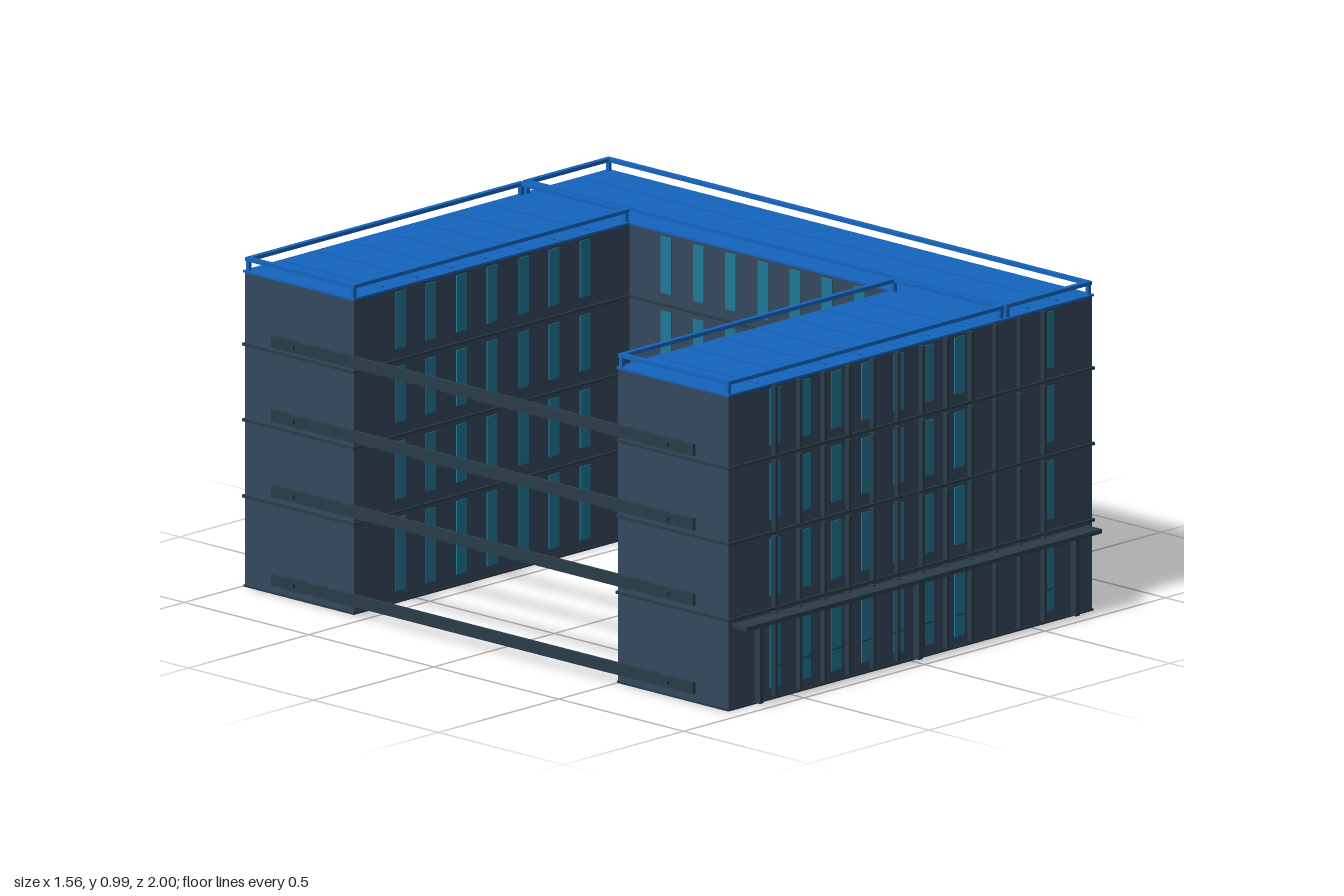
import * as THREE from 'three';

const mat = (color) => new THREE.MeshStandardMaterial({ color });
const wallMat = mat(0x34495e), trimMat = mat(0x2a3d4a), glassMat = mat(0x1f7898), roofMat = mat(0x1565c0);

// Outer limits of the U-shaped plan, and the courtyard inside it
const X0 = -0.755, X1 = 0.755, Z0 = -0.993, Z1 = 0.943;
const CX = 0.39, CZ0 = -0.557, CZ1 = 0.502, TOP = 0.94;

// Box given by its lower and upper corners
function box(parent, name, material, x0, x1, y0, y1, z0, z1) {
  const m = new THREE.Mesh(new THREE.BoxGeometry(x1 - x0, y1 - y0, z1 - z0), material);
  m.position.set((x0 + x1) / 2, (y0 + y1) / 2, (z0 + z1) / 2);
  m.name = name;
  parent.add(m);
  return m;
}

// Slab with the U plan, grown outwards by o
function uSlab(parent, name, material, y0, y1, o) {
  const pts = [
    [X0 - o, Z0 - o], [X1 + o, Z0 - o], [X1 + o, Z1 + o], [X0 - o, Z1 + o],
    [X0 - o, CZ1 - o], [CX - o, CZ1 - o], [CX - o, CZ0 + o], [X0 - o, CZ0 + o],
  ].map(([x, z]) => new THREE.Vector2(x, -z));
  const geo = new THREE.ExtrudeGeometry(new THREE.Shape(pts), { depth: y1 - y0, bevelEnabled: false });
  geo.rotateX(-Math.PI / 2);
  const m = new THREE.Mesh(geo, material);
  m.position.y = y0;
  m.name = name;
  parent.add(m);
}

// Roof of one block: raised seams, corner posts and a top rail
function roofBlock(parent, name, x0, x1, z0, z1, seams, alongX) {
  const g = new THREE.Group();
  g.name = name;
  parent.add(g);
  const i = 0.022, y = 0.946, h = 0.004, t = 0.003;
  for (const s of seams) {
    if (alongX) box(g, 'roofSeam', roofMat, s - t, s + t, y, y + h, z0 + i, z1 - i);
    else box(g, 'roofSeam', roofMat, x0 + i, x1 - i, y, y + h, s - t, s + t);
  }
  const w = 0.016;
  for (const x of [x0, x1 - w]) {
    box(g, 'roofRail', roofMat, x, x + w, 0.974, 0.985, z0, z1);
    for (const z of [z0, z1 - w]) {
      box(g, 'railPost', roofMat, x + 0.002, x + w - 0.002, y, 0.974, z + 0.002, z + w - 0.002);
    }
  }
  for (const z of [z0, z1 - w]) box(g, 'roofRail', roofMat, x0 + w, x1 - w, 0.974, 0.985, z, z + w);
}

export function createModel() {
  const model = new THREE.Group();
  model.name = 'courtyardBuilding';

  // Walls, floor ledges and roof deck
  uSlab(model, 'walls', wallMat, 0.006, TOP, 0);
  uSlab(model, 'basePlate', trimMat, 0, 0.006, 0.003);
  for (const y of [0.271, 0.499, 0.725]) uSlab(model, 'floorLedge', trimMat, y - 0.004, y + 0.004, 0.006);
  uSlab(model, 'roofDeck', roofMat, TOP, 0.946, 0.004);

  // Windows on each storey
  const windows = new THREE.Group();
  windows.name = 'windows';
  model.add(windows);
  const storeys = [[0.035, 0.255], [0.31, 0.482], [0.54, 0.706], [0.76, 0.93]];
  const wingX = [-0.563, -0.437, -0.309, -0.183, -0.051, 0.075, 0.203];
  const w = 0.021, p = 0.003;
  for (const [y0, y1] of storeys) {
    for (const x of [...wingX, 0.573]) {
      box(windows, 'frontWindow', glassMat, x - w, x + w, y0, y1, Z1 - 0.01, Z1 + p);
      box(windows, 'backWindow', glassMat, x - w, x + w, y0, y1, Z0 - p, Z0 + 0.01);
    }
    for (const x of wingX) {
      box(windows, 'courtWindow', glassMat, x - w, x + w, y0, y1, CZ1 - p, CZ1 + 0.01);
      box(windows, 'courtWindow', glassMat, x - w, x + w, y0, y1, CZ0 - 0.01, CZ0 + p);
    }
    for (let i = 0; i < 13; i++) {
      const z = 0.752 - i * 0.129;
      box(windows, 'sideWindow', glassMat, X1 - 0.01, X1 + p, y0, y1, z - w, z + w);
      if (z < CZ1 - 0.06 && z > CZ0 + 0.06) {
        box(windows, 'courtWindow', glassMat, CX - p, CX + 0.01, y0, y1, z - w, z + w);
      }
    }
  }
  // Transom across the ground-floor windows
  for (const x of [...wingX, 0.573]) {
    box(model, 'transom', trimMat, x - w, x + w, 0.098, 0.102, Z1, Z1 + 0.005);
    box(model, 'transom', trimMat, x - w, x + w, 0.098, 0.102, Z0 - 0.005, Z0);
  }

  // Long horizontal bars on both sides, bridging the open court
  for (const y of [0.03, 0.295, 0.52, 0.742]) {
    for (const s of [-1, 1]) {
      const x = s * 0.769;
      box(model, 'sideBar', trimMat, x - 0.005, x + 0.005, y, y + 0.036, -0.87, 0.82);
      for (const z of [-0.78, 0.72]) {
        box(model, 'barBracket', trimMat, x - 0.015, x + 0.005, y + 0.012, y + 0.024, z - 0.006, z + 0.006);
      }
    }
  }

  // Front mullions, broken at each floor ledge
  for (let i = 0; i < 12; i++) {
    const x = -0.57 + i * 0.1015;
    for (const [y0, y1] of [[0.012, 0.262], [0.28, 0.49], [0.508, 0.716], [0.734, 0.938]]) {
      box(model, 'mullion', trimMat, x - 0.005, x + 0.005, y0, y1, Z1, Z1 + 0.016);
    }
  }

  // Entrance canopy and its posts
  box(model, 'canopy', trimMat, -0.737, 0.737, 0.245, 0.258, Z1, 1);
  for (const x of [-0.66, 0, 0.652]) {
    box(model, 'canopyPost', trimMat, x - 0.008, x + 0.008, 0.012, 0.245, 0.964, 0.985);
  }

  // Roof fittings
  const wingSeams = Array.from({ length: 8 }, (_, i) => -0.61 + i * 0.142).filter((x) => x < 0.37);
  roofBlock(model, 'frontWingRoof', X0, CX, CZ1, Z1, wingSeams, true);
  roofBlock(model, 'backWingRoof', X0, CX, Z0, CZ0, wingSeams, true);
  roofBlock(model, 'spineRoof', 0.4, X1, Z0, Z1, [0.51, 0.632], true);
  return model;
}
